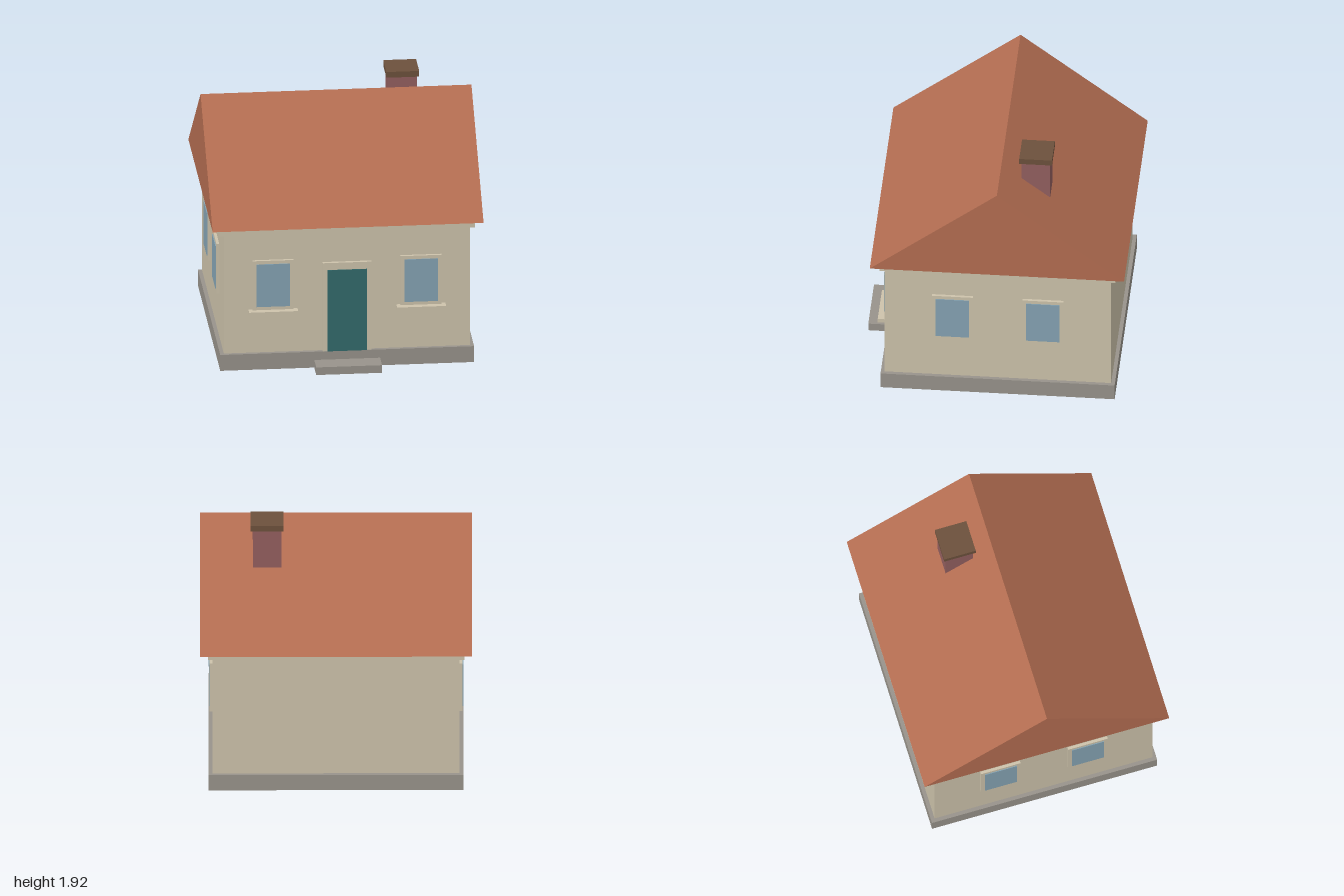
import * as THREE from 'three';

const material = (name, color) => {
  const m = new THREE.MeshStandardMaterial({ color });
  m.name = name;
  return m;
};

export function createModel() {
  const house = new THREE.Group();
  house.name = 'house';

  const plaster = material('cream plaster', 0xcdc3ab);
  const tile = material('terracotta', 0xb36d51);
  const stone = material('grey stone', 0x98938b);
  const paint = material('teal paint', 0x336a6b);
  const glass = material('blue glass', 0x85a3b3);
  const brick = material('dusky brick', 0x935f5f);
  const capstone = material('brown capstone', 0x6d513c);

  // Box given by its min and max along each axis
  const box = (name, mat, [x0, x1], [y0, y1], [z0, z1], parent = house) => {
    const mesh = new THREE.Mesh(new THREE.BoxGeometry(x1 - x0, y1 - y0, z1 - z0), mat);
    mesh.position.set((x0 + x1) / 2, (y0 + y1) / 2, (z0 + z1) / 2);
    mesh.name = name;
    parent.add(mesh);
    return mesh;
  };

  // Body
  box('plinth', stone, [-0.937, 0.937], [0, 0.125], [-0.9, 0.827]);
  box('frontStep', stone, [-0.243, 0.243], [0, 0.06], [0.827, 0.978]);
  box('walls', plaster, [-0.908, 0.908], [0.125, 1.065], [-0.872, 0.799]);
  box('cornice', plaster, [-0.943, 0.943], [1.065, 1.125], [-0.908, 0.834]);

  // Gable roof: triangle in the z-y plane, extruded along x
  const gable = new THREE.Shape([
    new THREE.Vector2(-0.901, 1.125),
    new THREE.Vector2(0.975, 1.125),
    new THREE.Vector2(0.037, 1.85),
  ]);
  const roofGeometry = new THREE.ExtrudeGeometry(gable, { depth: 2, bevelEnabled: false });
  roofGeometry.translate(0, 0, -1).rotateY(Math.PI / 2);
  const roof = new THREE.Mesh(roofGeometry, tile);
  roof.name = 'roof';
  house.add(roof);

  // Chimney
  box('chimneyStack', brick, [0.4, 0.612], [1.5, 1.875], [-0.396, -0.184]);
  box('chimneyCap', capstone, [0.385, 0.627], [1.875, 1.92], [-0.411, -0.169]);

  // Door
  box('doorFrame', plaster, [-0.18, 0.18], [0.125, 0.82], [0.79, 0.824]);
  box('door', paint, [-0.145, 0.145], [0.125, 0.765], [0.822, 0.83]);

  // Window facing +z, with its back on the wall at z = 0
  const makeWindow = (name, x, z, turn, withSill) => {
    const group = new THREE.Group();
    group.name = name;
    box('windowFrame', plaster, [-0.152, 0.152], [0.462, 0.853], [-0.01, 0.021], group);
    box('windowPane', glass, [-0.123, 0.123], [0.492, 0.827], [0.019, 0.027], group);
    if (withSill) box('windowSill', plaster, [-0.181, 0.181], [0.435, 0.466], [-0.01, 0.067], group);
    group.position.set(x, 0, z);
    group.rotation.y = turn;
    house.add(group);
  };

  for (const side of [-1, 1]) {
    makeWindow('frontWindow', side * 0.546, 0.799, 0, true);
    for (const z of [0.298, -0.37]) {
      makeWindow('sideWindow', side * 0.908, z, (side * Math.PI) / 2, false);
    }
  }

  return house;
}
